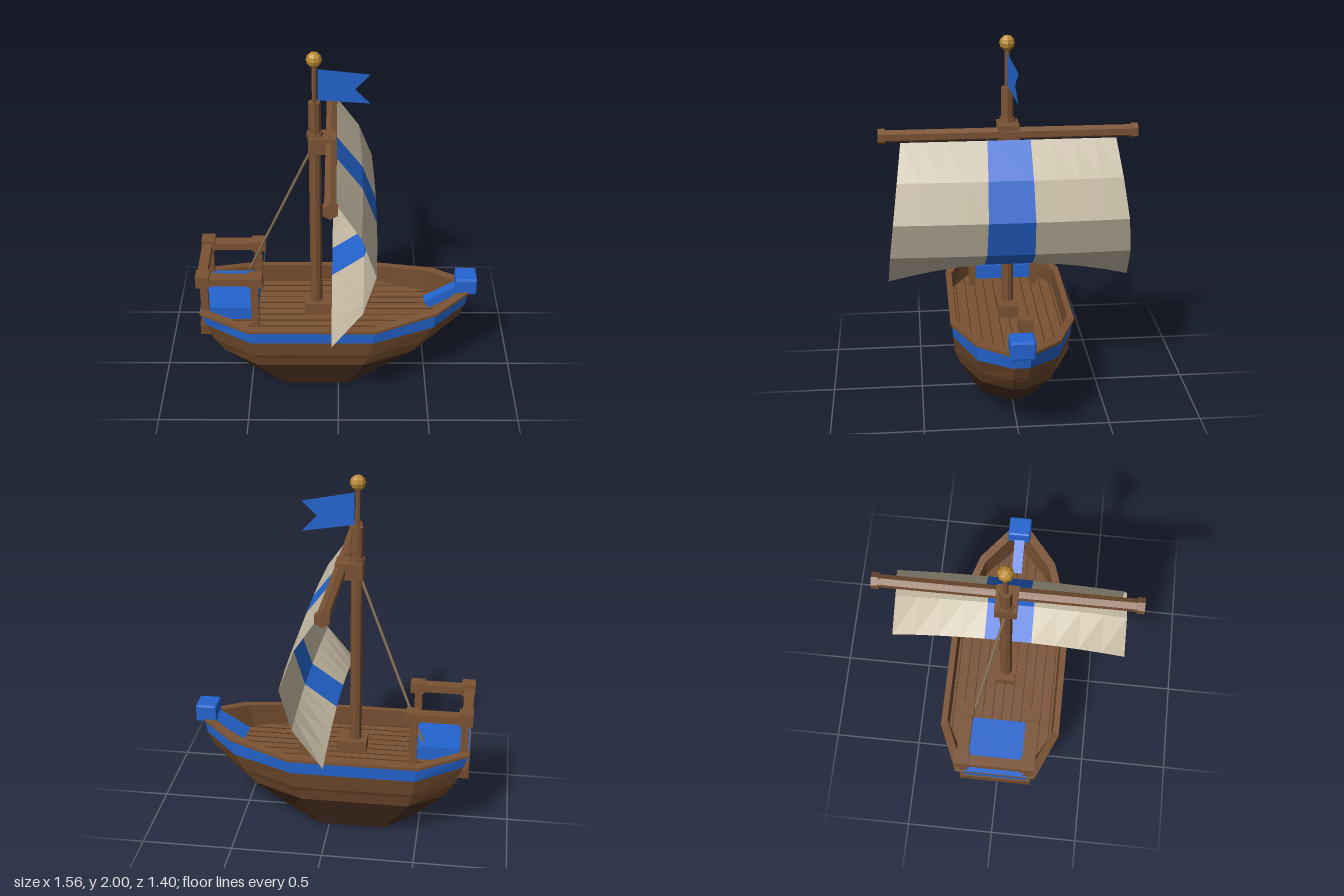
import * as THREE from 'three';
import { RoundedBoxGeometry } from 'three/addons/geometries/RoundedBoxGeometry.js';

const mat = (name, color, extra = {}) =>
  Object.assign(new THREE.MeshStandardMaterial({ color, flatShading: true, ...extra }), { name });

export function createModel() {
  const wood = mat('wood', 0x7a5233);
  const hullWood = mat('hull wood', 0x6f4a2c);
  const keelWood = mat('keel wood', 0x4a2f20);
  const seamWood = mat('seam wood', 0x50351f);
  const blue = mat('blue paint', 0x2465d0);
  const cloth = mat('sail cloth', 0xc6bba4, { side: THREE.DoubleSide });
  const blueCloth = mat('blue cloth', 0x2465d0, { side: THREE.DoubleSide });
  const gold = mat('gold', 0xb8892f);
  const rope = mat('rope', 0x857055);

  const model = new THREE.Group();
  model.name = 'sailboat';
  const V = (x, y, z) => new THREE.Vector3(x, y, z);

  function add(name, geo, material, x = 0, y = 0, z = 0, parent = model) {
    const mesh = new THREE.Mesh(geo, material);
    mesh.name = name;
    mesh.position.set(x, y, z);
    parent.add(mesh);
    return mesh;
  }
  // Box given by its min and max on each axis
  const box = (name, m, x0, x1, y0, y1, z0, z1) =>
    add(name, new THREE.BoxGeometry(x1 - x0, y1 - y0, z1 - z0), m, (x0 + x1) / 2, (y0 + y1) / 2, (z0 + z1) / 2);
  // Bar between two points: a box, or a round bar when sides is given
  function bar(name, m, a, b, w, h, sides = 0) {
    const len = a.distanceTo(b);
    const geo = sides
      ? new THREE.CylinderGeometry(w, w, len, sides).rotateX(Math.PI / 2)
      : new THREE.BoxGeometry(w, h, len);
    const mesh = add(name, geo, m);
    mesh.position.copy(a).add(b).multiplyScalar(0.5);
    mesh.lookAt(b);
    return mesh;
  }
  function fromTriangles(list) {
    const geo = new THREE.BufferGeometry().setFromPoints(list);
    geo.computeVertexNormals();
    return geo;
  }

  // Hull rings: half outlines [x, y, z] from stern to bow, mirrored in z
  const ring = half => [
    ...half.map(p => V(...p)),
    ...half.slice().reverse().map(([x, y, z]) => V(x, y, -z)),
  ];
  const loft = (a, b) => {
    const t = [];
    a.forEach((p, i) => {
      const j = (i + 1) % a.length;
      t.push(p, a[j], b[j], p, b[j], b[i]);
    });
    return fromTriangles(t);
  };
  const fan = (c, r, flip) => {
    const t = [];
    r.forEach((p, i) => {
      const q = r[(i + 1) % r.length];
      t.push(c, ...(flip ? [q, p] : [p, q]));
    });
    return fromTriangles(t);
  };

  const bottom = ring([[-.46, .05, .12], [-.31, 0, .18], [.06, 0, .18], [.22, .046, .11], [.34, .08, .03]]);
  const bilge = ring([[-.64, .23, .17], [-.45, .22, .29], [.14, .22, .29], [.42, .24, .185], [.59, .28, .035]]);
  const side = ring([[-.70, .33, .19], [-.47, .30, .31], [.17, .30, .31], [.48, .33, .2], [.68, .38, .04]]);
  const band = ring([[-.74, .44, .205], [-.485, .40, .325], [.19, .40, .325], [.53, .425, .21], [.72, .47, .045]]);
  const topHalf = [[-.76, .52, .215], [-.49, .48, .33], [.2, .48, .33], [.54, .52, .215], [.73, .55, .05]];
  const top = ring(topHalf);
  const shift = (dx, dy, dz) => ring(topHalf.map(([x, y, z]) => [x + Math.sign(x + .15) * dx, y + dy, z + dz]));
  const capLow = shift(.008, -.004, .009), capTop = shift(.008, .012, .009), capIn = shift(-.025, .012, -.025);
  const deckY = .4;
  const deckHalf = [[-.7, deckY, .17], [-.47, deckY, .295], [.18, deckY, .295], [.5, deckY, .18], [.66, deckY, .03]];
  const deck = ring(deckHalf);

  add('hullBottom', fan(V(-.12, 0, 0), bottom, true), keelWood);
  add('lowerHull', loft(bottom, bilge), keelWood);
  add('middleHull', loft(bilge, side), hullWood);
  add('upperHull', loft(side, band), hullWood);
  add('hullStripe', loft(band, top), blue);
  add('gunwaleUnderside', loft(top, capLow), wood);
  add('gunwaleEdge', loft(capLow, capTop), wood);
  add('gunwaleTop', loft(capTop, capIn), wood);
  add('bulwark', loft(capIn, deck), hullWood);
  add('deck', fan(V(-.12, deckY, 0), deck), wood);

  // Deck seams, cut to the deck outline
  for (let i = -5; i <= 5; i++) {
    const z = i * .056, a = Math.abs(z);
    const x0 = a < .17 ? -.7 : -.7 + .23 * (a - .17) / .125;
    const x1 = a < .18 ? .66 - .16 * Math.max(0, a - .03) / .15 : .5 - .32 * (a - .18) / .115;
    box('deckSeam', seamWood, x0, x1, deckY, deckY + .003, z - .002, z + .002);
  }

  // Rubbing strakes, stern beam and bow nub
  for (const s of [-1, 1]) {
    bar('strake', seamWood, V(-.46, .3, .308 * s), V(.18, .3, .308 * s), .016, .014);
    bar('bowStrake', seamWood, V(.18, .3, .308 * s), V(.44, .328, .216 * s), .016, .014);
  }
  box('sternBeam', hullWood, -.77, -.69, .37, .44, -.2, .2);
  box('bowNub', keelWood, .65, .69, .37, .41, -.02, .02);

  // Bow block and its stem
  bar('bowStem', blue, V(.5, .45, 0), V(.69, .565, 0), .06, .05);
  add('bowBlock', new RoundedBoxGeometry(.12, .105, .13, 1, .012), blue, .718, .592, -.003);

  // Stern platform with railing
  box('sternPlatform', blue, -.765, -.45, .46, .54, -.18, .18);
  for (const s of [-1, 1]) {
    const z = s * .18;
    for (const x of [-.738, -.462]) box('railPost', wood, x - .021, x + .021, .42, .72, z - .021, z + .021);
    box('sideRail', wood, -.77, -.425, .705, .748, z - .032, z + .032);
    box('railCornerCap', wood, -.78, -.705, .698, .768, z - .04, z + .04);
    box('railEndCap', wood, -.495, -.417, .698, .757, z - .038, z + .038);
  }
  box('sternRail', wood, -.775, -.72, .7, .75, -.16, .16);

  // Mast, pole, finial and deck fittings
  const mx = -.125;
  box('mastFoot', wood, -.19, -.025, deckY, .47, -.058, .058);
  box('deckBlock', wood, .1, .18, deckY, .475, -.12, -.04);
  add('mast', new THREE.CylinderGeometry(.033, .033, 1.32, 8), wood, mx, 1.06, 0);
  add('mastCollar', new THREE.CylinderGeometry(.042, .045, .03, 8), wood, mx, 1.535, 0);
  add('topPole', new THREE.CylinderGeometry(.014, .014, .22, 6), wood, mx, 1.82, 0);
  add('finial', new THREE.SphereGeometry(.042, 8, 6), gold, mx, 1.958, 0);

  // Yard
  box('yardBlock', wood, -.16, -.012, 1.44, 1.53, -.058, .058);
  bar('yard', wood, V(-.038, 1.485, -.67), V(-.038, 1.485, .67), .034, 0, 6);
  for (const s of [-1, 1])
    bar('yardEnd', wood, V(-.038, 1.485, .66 * s), V(-.038, 1.485, .698 * s), .043, 0, 6);

  // Billowing sail: rows of [x, y, half width], columns across the width
  const rows = [[-.01, 1.455, .58], [.13, 1.27, .605], [.207, 1.06, .632], [.14, .85, .655], [-.035, .73, .67]];
  const cols = [-1, -.8, -.6, -.4, -.2, .2, .4, .6, .8, 1];
  const sailPoint = (r, u) => {
    const [x, y, w] = rows[r];
    const belly = r === 0 || r === 4 ? 0 : .014;
    return V(x - belly * u * u, y - (r === 4 ? .085 * u * u : 0), w * u);
  };
  const plain = [], stripe = [];
  for (let r = 0; r < 4; r++)
    for (let c = 0; c < cols.length - 1; c++) {
      const [a, b, d, e] = [[r, c], [r, c + 1], [r + 1, c], [r + 1, c + 1]].map(([i, j]) => sailPoint(i, cols[j]));
      (c === 4 ? stripe : plain).push(a, b, d, b, e, d);
    }
  add('sail', fromTriangles(plain), cloth);
  add('sailStripe', fromTriangles(stripe), blueCloth);

  // Swallow-tailed flag, swung slightly back
  const flag = new THREE.Shape([[0, 1.73], [.275, 1.695], [.195, 1.78], [.275, 1.86], [0, 1.905]]
    .map(p => new THREE.Vector2(...p)));
  add('flag', new THREE.ShapeGeometry(flag), blueCloth, -.108, 0, 0).rotation.y = .12;

  // Backstay
  bar('backstay', rope, V(-.14, 1.45, 0), V(-.512, .565, -.17), .008, 0, 6);

  return model;
}
